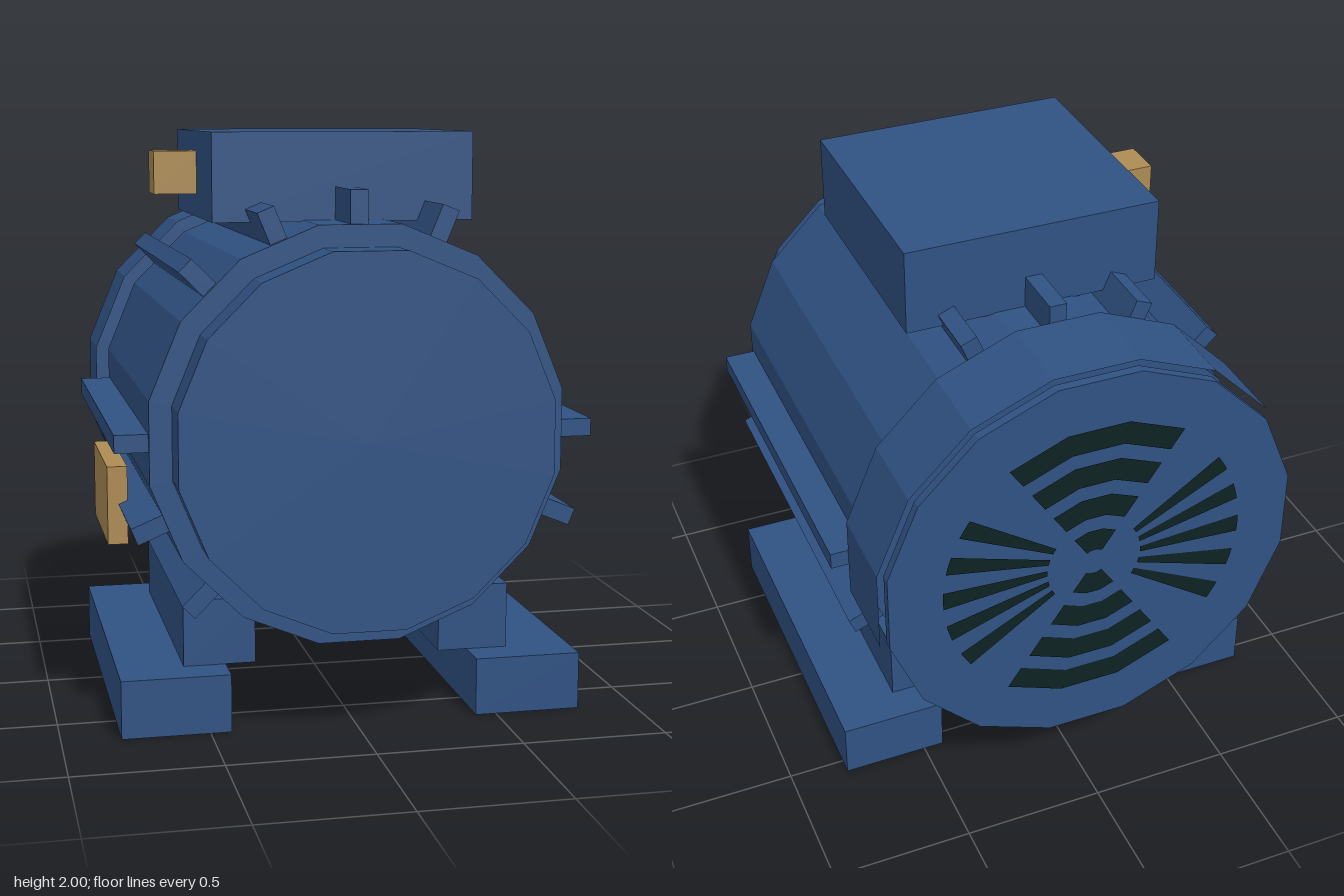
import * as THREE from 'three';

const SIDES = 16;
const AXIS_Y = 1.005;

export function createModel() {
  const blue = new THREE.MeshStandardMaterial({ color: 0x305283, flatShading: true });
  blue.name = 'blue paint';
  const brass = new THREE.MeshStandardMaterial({ color: 0xad8b53, flatShading: true });
  brass.name = 'brass';
  const dark = new THREE.MeshStandardMaterial({ color: 0x0d2222, flatShading: true });
  dark.name = 'dark vent';

  const model = new THREE.Group();
  model.name = 'electricMotor';

  const add = (parent, name, geometry, material) => {
    const mesh = new THREE.Mesh(geometry, material);
    mesh.name = name;
    parent.add(mesh);
    return mesh;
  };

  // Box given by its limits on each axis
  const box = (name, material, x0, x1, y0, y1, z0, z1) =>
    add(model, name, new THREE.BoxGeometry(x1 - x0, y1 - y0, z1 - z0), material)
      .position.set((x0 + x1) / 2, (y0 + y1) / 2, (z0 + z1) / 2);

  // Faceted drum along z, sized by its flats
  const drum = (name, flat, z0, z1, open = false) => {
    const r = flat / Math.cos(Math.PI / SIDES);
    const geometry = new THREE.CylinderGeometry(r, r, z1 - z0, SIDES, 1, open, Math.PI / SIDES);
    geometry.rotateX(Math.PI / 2);
    add(model, name, geometry, blue).position.set(0, AXIS_Y, (z0 + z1) / 2);
  };

  // Housing: body, front cap, open fan shroud and rear plate
  drum('body', 0.7, -0.6, 0.74);
  drum('frontCap', 0.625, 0.74, 0.89);
  drum('fanShroud', 0.75, -0.86, -0.56, true);
  drum('rearPlate', 0.726, -0.888, -0.855);

  // Cooling fins around the body
  for (const degrees of [0, 67.5, 90, 112.5, 135, 180, 202.5, 225, 337.5]) {
    const a = THREE.MathUtils.degToRad(degrees);
    const fin = add(model, 'coolingFin', new THREE.BoxGeometry(0.17, 0.06, 1.28), blue);
    fin.position.set(Math.cos(a) * 0.727, AXIS_Y + Math.sin(a) * 0.727, 0.08);
    fin.rotation.z = a;
  }

  // Vent slots on the rear plate: nested bands above and below, spokes at the sides
  const vents = new THREE.Group();
  vents.name = 'rearVents';
  vents.position.set(0, AXIS_Y, -0.892);
  vents.rotation.y = Math.PI;
  model.add(vents);
  const step = (Math.PI * 2) / SIDES;
  for (const middle of [Math.PI / 2, -Math.PI / 2]) {
    for (const r of [0.05, 0.19, 0.33, 0.47]) {
      add(vents, 'ventBand',
        new THREE.RingGeometry(r, r + 0.085, 3, 1, middle - step * 1.5, step * 3), dark);
    }
  }
  for (const middle of [0, Math.PI]) {
    for (let i = -2; i <= 2; i++) {
      add(vents, 'ventSpoke',
        new THREE.RingGeometry(0.17, 0.54, 1, 1, middle + i * 0.27 - 0.065, 0.13), dark);
    }
  }

  // Terminal box with cable gland, and the side plate
  box('terminalBox', blue, -0.45, 0.45, 1.7, 2, -0.36, 0.49);
  box('cableGland', brass, -0.6, -0.45, 1.78, 1.93, -0.01, 0.135);
  box('ratingPlate', brass, -0.8, -0.73, 0.58, 0.855, -0.17, 0.33);

  // Feet
  for (const s of [-1, 1]) {
    const span = (a, b) => (s > 0 ? [a, b] : [-b, -a]);
    box('footBracket', blue, ...span(0.325, 0.573), 0.2, 0.43, -0.43, 0.567);
    box('footRail', blue, ...span(0.428, 0.8), 0, 0.2, -0.555, 0.692);
  }

  return model;
}
